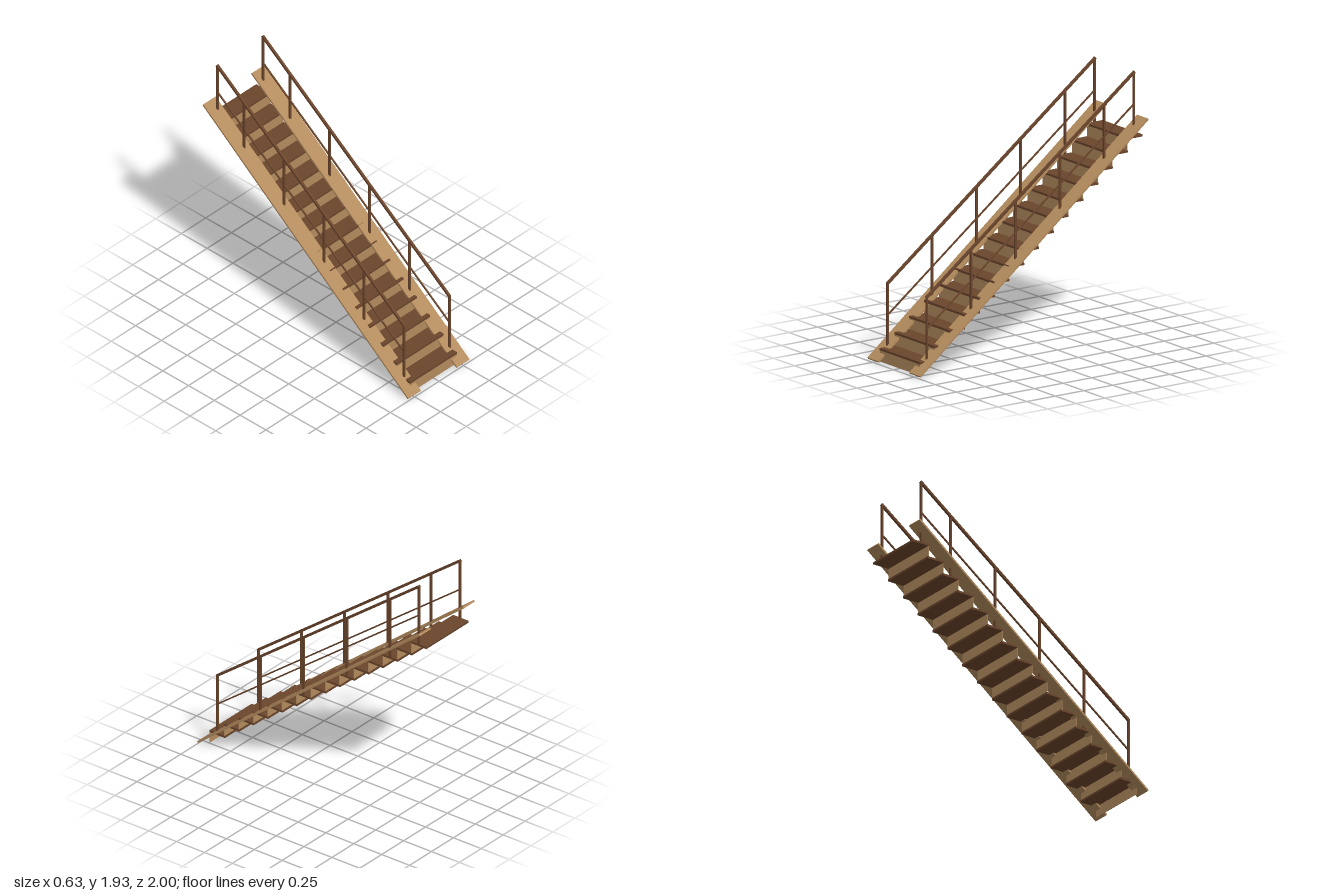
import * as THREE from 'three';

const tan = new THREE.MeshStandardMaterial({ color: 0xb48c5e });
tan.name = 'lightWood';
const brown = new THREE.MeshStandardMaterial({ color: 0x6b452c });
brown.name = 'darkWood';

const STEPS = 15, RUN = 0.1292, RISE = 0.0969;
const FIRST_Z = 0.946, FIRST_TOP = 0.098;
const TREAD_DEPTH = 0.138, TREAD_THICK = 0.016, TREAD_WIDTH = 0.48;
const RAIL_X = 0.234;

function box(parent, name, material, size, position) {
  const mesh = new THREE.Mesh(new THREE.BoxGeometry(...size), material);
  mesh.name = name;
  mesh.position.set(...position);
  parent.add(mesh);
  return mesh;
}

// Square bar running between two points [z, y] in the plane at x
function slopedBar(parent, name, material, x, a, b, width, thick) {
  const dz = b[0] - a[0], dy = b[1] - a[1];
  const bar = box(parent, name, material, [width, thick, Math.hypot(dz, dy)],
    [x, (a[1] + b[1]) / 2, (a[0] + b[0]) / 2]);
  bar.rotation.x = Math.atan2(dy, -dz);
  return bar;
}

export function createModel() {
  const model = new THREE.Group();
  model.name = 'staircase';

  // Treads with a thin riser under each front edge
  const steps = new THREE.Group();
  steps.name = 'steps';
  model.add(steps);
  for (let i = 0; i < STEPS; i++) {
    const front = FIRST_Z - i * RUN, top = FIRST_TOP + i * RISE;
    box(steps, 'tread', brown, [TREAD_WIDTH, TREAD_THICK, TREAD_DEPTH],
      [0, top - TREAD_THICK / 2, front - TREAD_DEPTH / 2]);
    const low = i === 0 ? 0 : top - RISE, high = top - TREAD_THICK;
    box(steps, 'riser', tan, [TREAD_WIDTH, high - low, 0.004],
      [0, (low + high) / 2, front - 0.003]);
  }

  for (const side of [1, -1]) {
    const half = new THREE.Group();
    half.name = side > 0 ? 'leftSide' : 'rightSide';
    model.add(half);

    // Flat sloping side board
    slopedBar(half, 'sideBoard', tan, side * 0.25, [0.9957, 0.0155], [-0.9957, 1.5825], 0.128, 0.014);

    // Handrail and thinner middle rail
    const x = side * RAIL_X;
    const railY = z => 0.562 + (0.881 - z) * 0.7495;
    slopedBar(half, 'handrail', brown, x, [0.884, railY(0.884)], [-0.934, railY(-0.934)], 0.018, 0.018);
    slopedBar(half, 'middleRail', brown, x, [0.881, railY(0.881) - 0.232], [-0.928, railY(-0.928) - 0.232], 0.01, 0.01);

    // Posts standing on the treads
    for (const i of [0, 3, 6, 9, 12, 14]) {
      const z = FIRST_Z - i * RUN - 0.065;
      const foot = FIRST_TOP + i * RISE, head = railY(z);
      box(half, 'post', brown, [0.015, head - foot, 0.015], [x, (foot + head) / 2, z]);
    }
  }
  return model;
}
